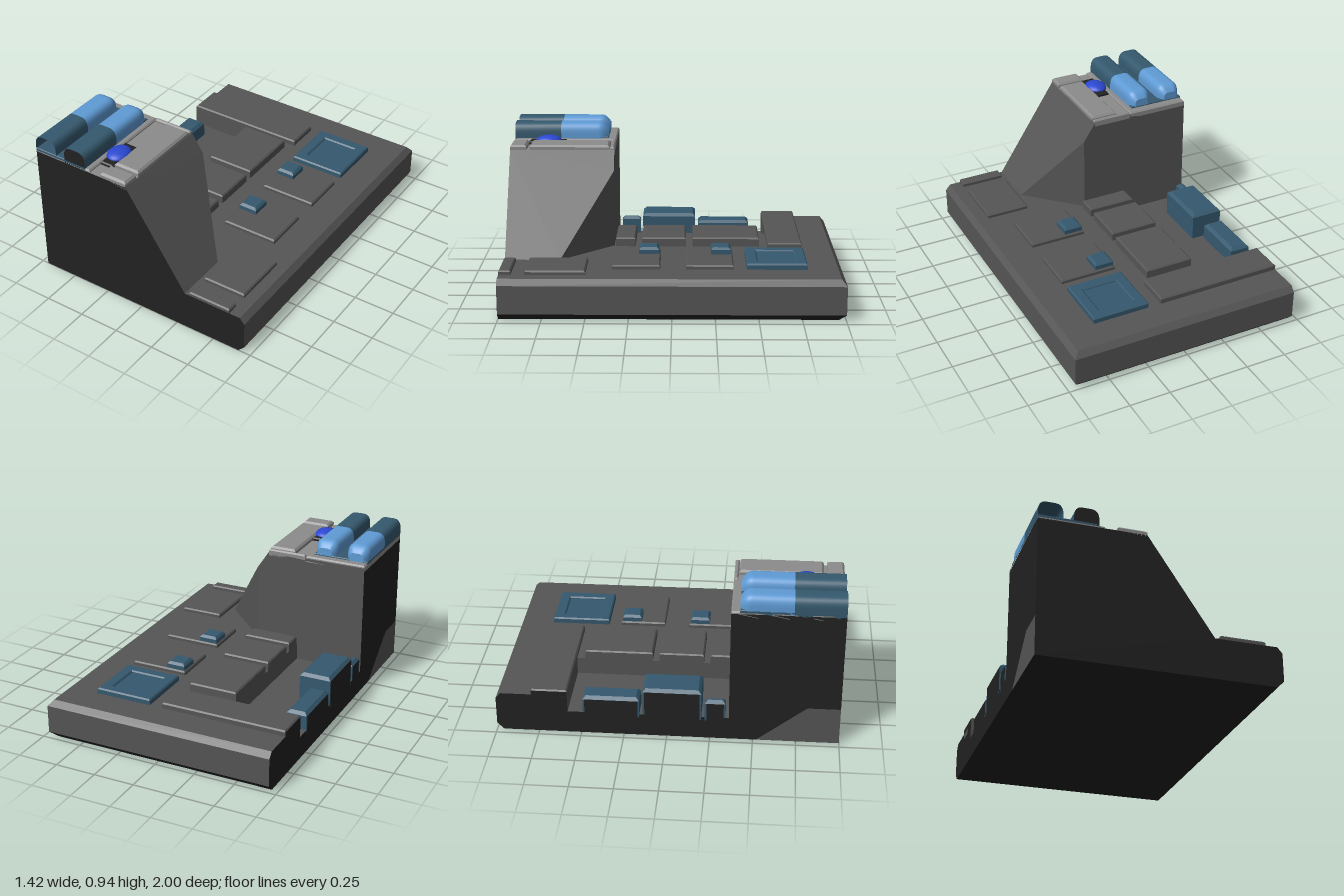
import * as THREE from 'three';
import { toCreasedNormals } from 'three/addons/utils/BufferGeometryUtils.js';

const paint = (name, color, side = THREE.FrontSide) => {
  const m = new THREE.MeshStandardMaterial({ color, side });
  m.name = name;
  return m;
};

export function createModel() {
  const model = new THREE.Group();
  const gray = paint('hull gray', 0x555555);
  const dark = paint('cut black', 0x222222);
  const light = paint('light gray', 0x8c8c8c);
  const teal = paint('deep teal', 0x35596e, THREE.DoubleSide);
  const sky = paint('sky blue', 0x5f9bd5);
  const blue = paint('lamp blue', 0x2a48d0);

  const add = (name, geometry, material) => {
    const mesh = new THREE.Mesh(geometry, material);
    mesh.name = name;
    model.add(mesh);
    return mesh;
  };

  // Flat polygons, each fanned from its first corner
  const faces = (name, material, polygons) => {
    const p = [];
    for (const poly of polygons)
      for (let i = 1; i < poly.length - 1; i++) p.push(...poly[0], ...poly[i], ...poly[i + 1]);
    const g = new THREE.BufferGeometry();
    g.setAttribute('position', new THREE.Float32BufferAttribute(p, 3));
    g.computeVertexNormals();
    return add(name, g, material);
  };
  const top = (x0, x1, z0, z1, y) => [[x0, y, z1], [x1, y, z1], [x1, y, z0], [x0, y, z0]];
  const leftFace = (zy, x = L) => zy.map(([z, y]) => [x, y, z]);

  // Chamfered block, optionally a frame with an opening of the given rim width
  const block = (name, material, x0, x1, z0, z1, y0, y1, bevel = 0.008, rim = 0) => {
    const rect = (target, i) => {
      target.moveTo(x0 + i, -z1 + i);
      target.lineTo(x1 - i, -z1 + i);
      target.lineTo(x1 - i, -z0 - i);
      target.lineTo(x0 + i, -z0 - i);
      target.closePath();
      return target;
    };
    const shape = rect(new THREE.Shape(), bevel);
    if (rim) shape.holes.push(rect(new THREE.Path(), rim));
    const g = new THREE.ExtrudeGeometry(shape, {
      depth: y1 - y0 - 2 * bevel, bevelSize: bevel, bevelThickness: bevel, bevelSegments: 1,
    });
    g.rotateX(-Math.PI / 2).translate(0, y0 + bevel, 0);
    return add(name, g, material);
  };

  // Base slab with chamfered outer edges and a sunken bay
  const L = -0.71, deck = 0.245, pit = 0.14, bayX = -0.28, bayBack = -0.58, wall = 0.36;
  const ring = (y, i) => [[L, y, 1], [0.71 - i, y, 1], [0.71 - i, y, -1 + i], [L, y, -1 + i]];
  const rings = [ring(0, 0.04), ring(0.04, 0), ring(0.21, 0), ring(deck, 0.03)];
  const band = (a, b) => [[a[1], a[2], b[2], b[1]], [a[2], a[3], b[3], b[2]]];
  faces('slabSides', gray, [...band(rings[1], rings[2]), ...band(rings[2], rings[3])]);
  faces('slabUnderside', dark, [...band(rings[0], rings[1]), [...rings[0]].reverse()]);
  faces('deck', gray, [
    top(L, 0.68, -0.97, bayBack, deck),
    top(bayX, 0.68, bayBack, wall, deck),
    top(L, 0.68, wall, 1, deck),
  ]);
  faces('sunkenBay', gray, [
    top(L, bayX, bayBack, wall, pit),
    [[bayX, pit, bayBack], [bayX, pit, wall], [bayX, deck, wall], [bayX, deck, bayBack]],
    [[L, pit, bayBack], [bayX, pit, bayBack], [bayX, deck, bayBack], [L, deck, bayBack]],
    [[bayX, pit, wall], [L, pit, wall], [L, deck, wall], [bayX, deck, wall]],
  ]);

  // Tower with a sloping flank and a clipped rear corner
  const roof = 0.83, ridge = -0.075, foot = 0.31;
  faces('tower', gray, [
    [[ridge, roof, 1], [foot, deck, 1], [foot, deck, 0.67], [0, 0.717, wall], [ridge, roof, wall]],
    [[foot, deck, 0.67], [0, deck, wall], [0, 0.717, wall]],
    [[0, deck, wall], [L, deck, wall], [L, roof, wall], [ridge, roof, wall], [0, 0.717, wall]],
  ]);
  faces('towerRoof', light, [top(L, ridge, wall, 1, roof)]);

  // Flat cut sides
  faces('frontCut', dark, [[
    [L, 0, 1], [0.67, 0, 1], [0.71, 0.04, 1], [0.71, 0.21, 1], [0.68, deck, 1],
    [foot, deck, 1], [ridge, roof, 1], [L, roof, 1],
  ]]);
  faces('sideCut', dark, [
    leftFace([[-0.96, 0], [bayBack, 0], [bayBack, deck], [-0.97, deck], [-1, 0.21], [-1, 0.04]]),
    leftFace([[bayBack, 0], [wall, 0], [wall, pit], [bayBack, pit]]),
    leftFace([[wall, roof], [wall, 0], [0.52, 0], [0.81, 0.23], [1, 0.23], [1, roof]]),
  ]);
  faces('sidePatch', gray, [leftFace([[0.52, 0], [1, 0], [1, 0.23], [0.81, 0.23]])]);

  // Raised deck plates
  block('rearBar', gray, L, 0.065, -0.79, -0.58, 0.2, 0.28);
  for (const [z0, z1] of [[-0.53, -0.12], [-0.08, 0.19], [0.23, 0.35]])
    block('centrePanel', gray, bayX, 0.02, z0, z1, 0.2, 0.3);
  for (const [z0, z1] of [[-0.36, -0.08], [0.07, 0.35]]) {
    block('deckPanel', gray, 0.145, 0.495, z0, z1, 0.22, 0.27);
    block('panelButton', teal, 0.153, 0.27, z0 + 0.01, z0 + 0.13, 0.25, 0.31, 0.014);
  }
  for (const [z0, z1] of [[0.5, 0.85], [0.93, 1]])
    block('flankPanel', gray, 0.34, 0.61, z0, z1, 0.22, 0.27);
  block('hatchFrame', teal, 0.145, 0.495, -0.79, -0.435, 0.22, 0.28, 0.008, 0.06);
  block('hatchFloor', teal, 0.19, 0.45, -0.74, -0.48, 0.22, 0.268, 0.003);

  // Machinery in the bay, cut flat on the outer side
  for (const [z0, z1, x1, y1] of [[-0.49, -0.16, -0.585, 0.245], [-0.14, 0.2, -0.515, 0.31], [0.22, 0.34, -0.66, 0.25]]) {
    block('bayUnit', teal, L, x1, z0, z1, 0.1, y1, 0.018);
    faces('bayUnitCut', dark, [leftFace([
      [z0 + 0.01, 0.1], [z1 - 0.01, 0.1], [z1 - 0.01, y1 - 0.018], [z0 + 0.01, y1 - 0.018],
    ], L - 0.001)]);
  }
  faces('rearBarCut', dark, [leftFace([[-0.79, 0.24], [-0.58, 0.24], [-0.58, 0.272], [-0.79, 0.272]], L - 0.001)]);

  // Roof plates
  block('tubePlate', light, L, -0.325, wall, 1, 0.8, 0.845);
  block('tubeBed', teal, L, -0.36, 0.41, 1, 0.82, 0.854, 0.004);
  block('rearRim', light, -0.32, ridge, wall, 0.385, 0.8, 0.85);
  block('ridgePanel', light, -0.24, ridge, 0.39, 0.88, 0.8, 0.86, 0.012);
  block('ridgePanel', light, -0.25, ridge, 0.9, 1, 0.8, 0.86, 0.012);

  // Lamp in its holder
  block('lampHolder', dark, -0.325, -0.24, 0.67, 0.9, 0.81, 0.85);
  const lamp = add('lamp', new THREE.SphereGeometry(1, 28, 18), blue);
  lamp.scale.set(0.066, 0.034, 0.08);
  lamp.position.set(-0.285, 0.847, 0.78);

  // Arched tubes: rounded blue tail, teal body
  const arch = new THREE.Shape();
  arch.moveTo(-0.073, 0);
  arch.lineTo(-0.073, 0.045);
  arch.quadraticCurveTo(-0.073, 0.11, -0.025, 0.11);
  arch.lineTo(0.025, 0.11);
  arch.quadraticCurveTo(0.073, 0.11, 0.073, 0.045);
  arch.lineTo(0.073, 0);
  const tube = (depth, steps) =>
    new THREE.ExtrudeGeometry(arch, { depth, steps, bevelEnabled: false, curveSegments: 8 });
  for (const x of [-0.637, -0.43]) {
    const tail = tube(0.3, 24);
    const p = tail.attributes.position;
    for (let i = 0; i < p.count; i++) {
      const t = Math.max(0, 1 - p.getZ(i) / 0.06);
      const s = 1 - 0.38 * t * t;
      p.setXY(i, p.getX(i) * s, p.getY(i) * s);
    }
    add('tubeTail', toCreasedNormals(tail, 0.6), sky).position.set(x, roof, 0.41);

    const body = toCreasedNormals(tube(0.29, 1), 0.6);
    // the outer tube is open at the cut
    if (x < -0.5) body.groups = body.groups.filter((g) => g.materialIndex === 1);
    add('tubeBody', body, [dark, teal]).position.set(x, roof, 0.71);
  }
  return model;
}
